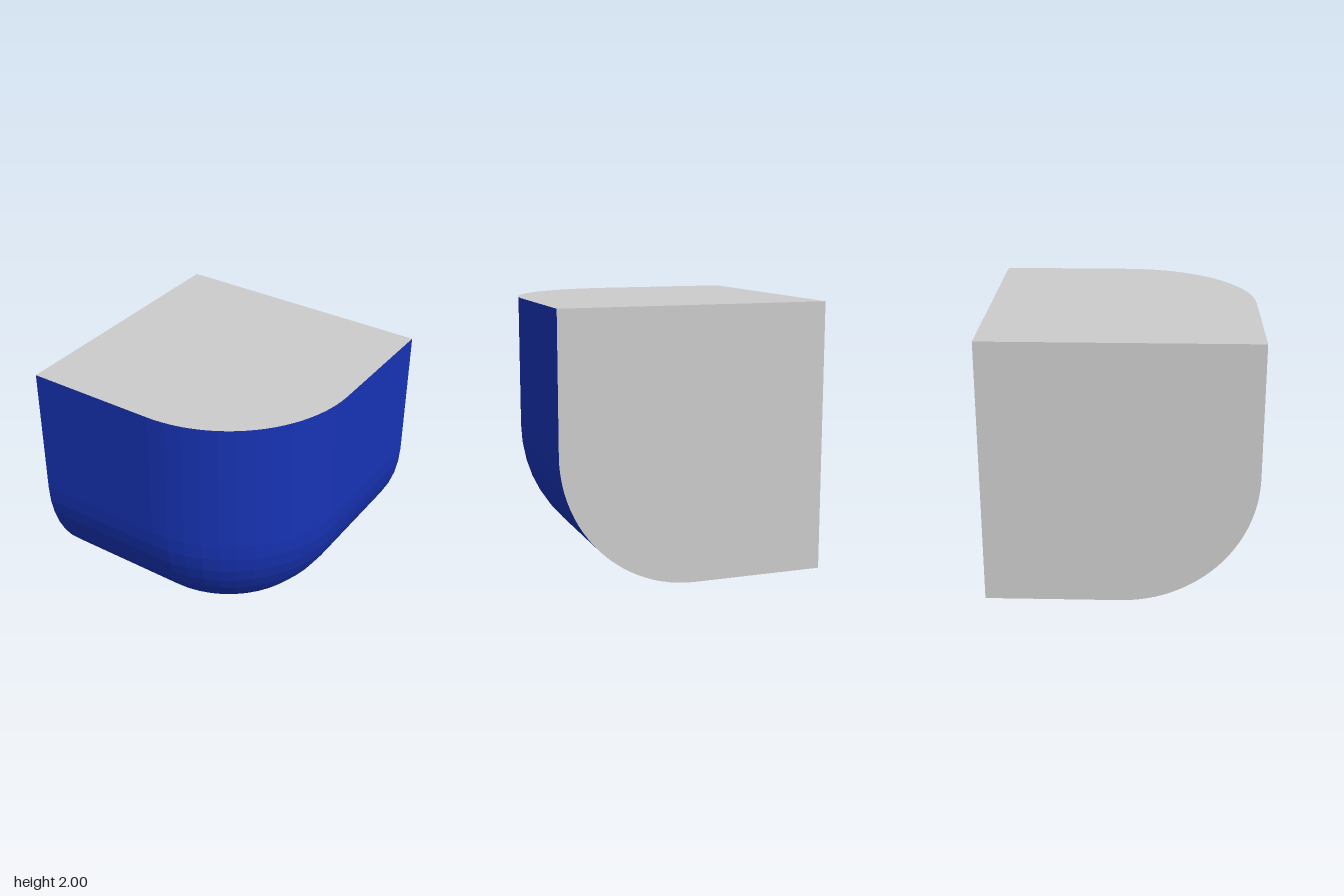
import * as THREE from 'three';

const STEPS = 12; // facets per quarter round
const QUARTER = Math.PI / 2;

// Shell: horizontal rings from the rim, down the round, to the flat bottom
function shellGeometry() {
  const pos = [], index = [];
  const cols = STEPS + 3;
  const ring = (y, r) => {
    pos.push(-1, y, r);
    for (let j = 0; j <= STEPS; j++) {
      const a = (j / STEPS) * QUARTER;
      pos.push(r * Math.sin(a), y, r * Math.cos(a));
    }
    pos.push(r, y, -1);
  };
  ring(2, 1);
  for (let i = 0; i <= STEPS; i++) {
    const a = (i / STEPS) * QUARTER;
    ring(1 - Math.sin(a), i === STEPS ? 0 : Math.cos(a));
  }
  // last ring gathers in the square corner and closes the bottom
  for (let j = 0; j < cols; j++) pos.push(-1, 0, -1);

  const rows = STEPS + 3;
  for (let i = 0; i < rows - 1; i++) {
    for (let j = 0; j < cols - 1; j++) {
      const a = i * cols + j, b = a + 1, c = a + cols, d = c + 1;
      index.push(a, c, b, b, c, d);
    }
  }
  const geo = new THREE.BufferGeometry();
  geo.setAttribute('position', new THREE.Float32BufferAttribute(pos, 3));
  geo.setIndex(index);
  geo.computeVertexNormals();
  return geo;
}

// Flat face: a square with its lower right corner rounded
function faceGeometry() {
  const s = new THREE.Shape();
  s.moveTo(-1, 1);
  s.lineTo(-1, -1);
  s.lineTo(0, -1);
  s.absarc(0, 0, 1, -QUARTER, 0, false);
  s.lineTo(1, 1);
  s.closePath();
  return new THREE.ShapeGeometry(s, STEPS);
}

export function createModel() {
  const group = new THREE.Group();
  group.name = 'roundedCornerBlock';
  const blue = new THREE.MeshStandardMaterial({ color: 0x1733b5, flatShading: true });
  const grey = new THREE.MeshStandardMaterial({ color: 0xcccccc });

  const add = (name, geo, mat, x, y, z) => {
    const mesh = new THREE.Mesh(geo, mat);
    mesh.name = name;
    mesh.position.set(x, y, z);
    group.add(mesh);
  };

  add('roundedShell', shellGeometry(), blue, 0, 0, 0);
  // three flat faces, each with the rounded corner towards the shell
  add('topFace', faceGeometry().rotateX(-QUARTER), grey, 0, 2, 0);
  add('sideFace', faceGeometry().rotateY(-QUARTER), grey, -1, 1, 0);
  add('backFace', faceGeometry().rotateY(Math.PI).rotateZ(QUARTER), grey, 0, 1, -1);
  return group;
}
